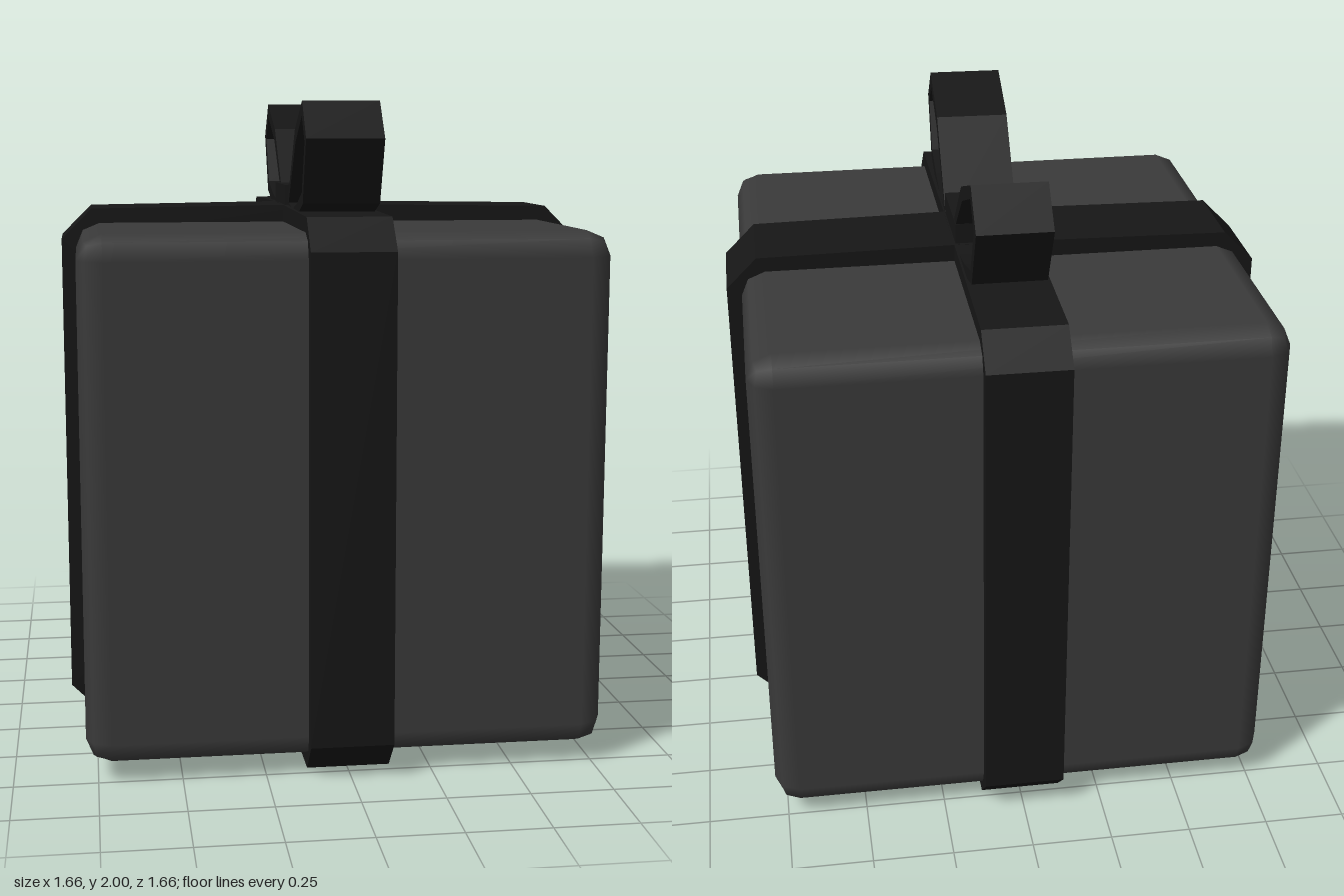
import * as THREE from 'three';
import { RoundedBoxGeometry } from 'three/addons/geometries/RoundedBoxGeometry.js';

const boxMaterial = new THREE.MeshStandardMaterial({ color: 0x3a3a3a });
const ribbonMaterial = new THREE.MeshStandardMaterial({ color: 0x161616 });

const toPoints = (list) => list.map(([x, y]) => new THREE.Vector2(x, y));

// Closed strip: an outline with a hole, extruded to the ribbon's width
function strip(name, outer, inner, width) {
  const shape = new THREE.Shape(toPoints(outer));
  shape.holes.push(new THREE.Path(toPoints(inner)));
  const geometry = new THREE.ExtrudeGeometry(shape, { depth: width, bevelEnabled: false });
  geometry.translate(0, 0, -width / 2);
  const mesh = new THREE.Mesh(geometry, ribbonMaterial);
  mesh.name = name;
  return mesh;
}

// Square outline with cut corners, slightly bowed at top and bottom
function bandOutline(half, bottom, top, cut, bow) {
  const right = [
    [0, bottom - bow], [half - cut, bottom], [half, bottom + cut],
    [half, top - cut], [half - cut, top], [0, top + bow],
  ];
  const left = right.slice(1, -1).reverse().map(([x, y]) => [-x, y]);
  return [...right, ...left];
}

export function createModel() {
  const model = new THREE.Group();
  model.name = 'giftBox';

  // Box with softened edges
  const box = new THREE.Mesh(new RoundedBoxGeometry(1.57, 1.57, 1.57, 1, 0.075), boxMaterial);
  box.name = 'box';
  box.position.y = 0.838;
  model.add(box);

  // Two ribbon bands crossing at top and bottom
  const outer = bandOutline(0.83, 0.012, 1.668, 0.095, 0.01);
  const inner = bandOutline(0.75, 0.09, 1.59, 0.09, 0);
  const sideBand = strip('sideBand', outer, inner, 0.28);
  const frontBand = strip('frontBand', outer, inner, 0.25);
  frontBand.rotation.y = -Math.PI / 2;
  model.add(sideBand, frontBand);

  // Knot
  const knot = new THREE.Mesh(new THREE.BoxGeometry(0.24, 0.12, 0.27), ribbonMaterial);
  knot.name = 'knot';
  knot.position.set(0, 1.68, 0.005);
  model.add(knot);

  // Bow loops, front and back
  const loopOuter = [
    [0.1, 1.65], [0.28, 1.635], [0.45, 1.66], [0.6, 1.7],
    [0.695, 1.89], [0.585, 2.0], [0.37, 1.915],
  ];
  const loopInner = [
    [0.17, 1.685], [0.29, 1.67], [0.44, 1.695], [0.572, 1.732],
    [0.65, 1.88], [0.575, 1.955], [0.39, 1.877],
  ];
  const frontLoop = strip('frontLoop', loopOuter, loopInner, 0.23);
  frontLoop.rotation.y = -Math.PI / 2 + -0.02;
  frontLoop.position.x = 0.008;
  const backLoop = strip('backLoop', loopOuter, loopInner, 0.225);
  backLoop.rotation.y = Math.PI / 2;
  backLoop.position.set(0.006, 0, 0.105);
  model.add(frontLoop, backLoop);

  return model;
}
